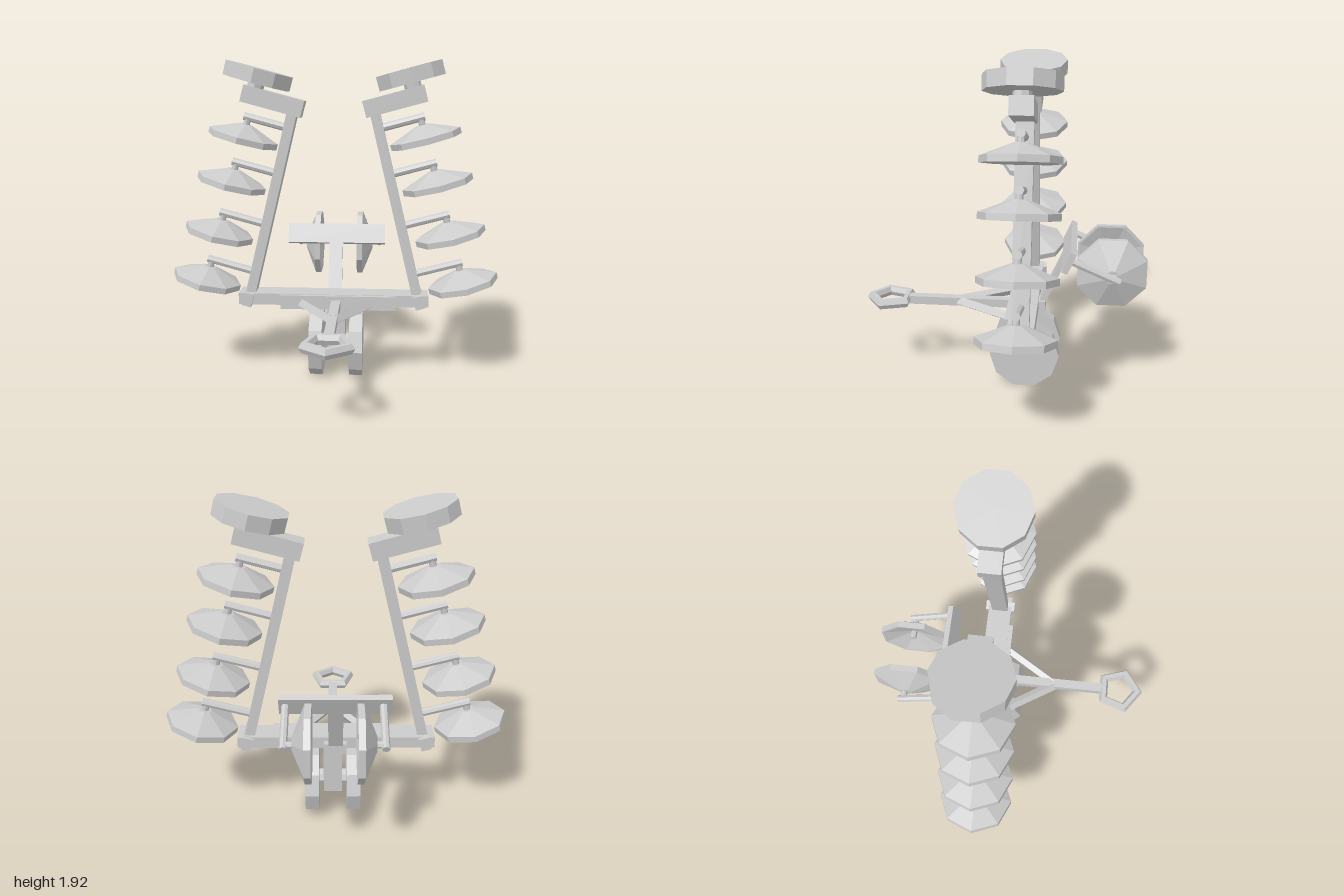
import * as THREE from 'three';

const Z = -0.145;                 // depth of the folded frame
const TILT = THREE.MathUtils.degToRad(15);
const CX = 0.02;                  // centre line of the drawbar and undercarriage
const V = (x, y, z) => new THREE.Vector3(x, y, z);
const material = new THREE.MeshStandardMaterial({ color: 0xcccccc, flatShading: true, side: THREE.DoubleSide });

function add(parent, name, geometry, x = 0, y = 0, z = 0) {
  const mesh = new THREE.Mesh(geometry, material);
  mesh.name = name;
  mesh.position.set(x, y, z);
  parent.add(mesh);
  return mesh;
}

function box(parent, name, w, h, d, x, y, z) {
  return add(parent, name, new THREE.BoxGeometry(w, h, d), x, y, z);
}

// Place a geometry made along y between two points
function span(parent, name, a, b, makeGeometry) {
  const dir = b.clone().sub(a);
  const mid = a.clone().add(b).multiplyScalar(0.5);
  const mesh = add(parent, name, makeGeometry(dir.length()), mid.x, mid.y, mid.z);
  mesh.quaternion.setFromUnitVectors(V(0, 1, 0), dir.normalize());
  return mesh;
}

const rod = (parent, name, a, b, r) =>
  span(parent, name, a, b, (len) => new THREE.CylinderGeometry(r, r, len, 8));
const bar = (parent, name, a, b, w, d) =>
  span(parent, name, a, b, (len) => new THREE.BoxGeometry(w, len, d));

// Shallow hollow cone with a thick rim
function dishGeometry() {
  const profile = [[0, 0.045], [0.2, -0.018], [0.212, -0.018], [0.212, 0.018], [0.04, 0.085], [0, 0.085]];
  return new THREE.LatheGeometry(profile.map(([r, y]) => new THREE.Vector2(r, y)), 8);
}

// Raised arm with four rake wheels and a top wheel; s = 1 left, -1 right
function addArm(parent, s) {
  const arm = new THREE.Group();
  arm.name = s > 0 ? 'leftArm' : 'rightArm';
  parent.add(arm);
  bar(arm, 'armBeam', V(s * 0.525, 0.45, Z), V(s * 0.24, 1.63, Z), 0.06, 0.1);
  box(arm, 'armHinge', 0.06, 0.08, 0.19, s * 0.522, 0.48, Z).rotation.z = s * TILT;
  box(arm, 'armHeadBlock', 0.37, 0.1, 0.125, s * 0.36, 1.68, Z).rotation.z = s * TILT;

  const tilted = (name, x, y) => {
    const g = new THREE.Group();
    g.name = name;
    g.position.set(s * x, y, Z);
    g.rotation.z = s * TILT;
    arm.add(g);
    return g;
  };
  const top = tilted('topWheel', 0.447, 1.827);
  add(top, 'topWheelDisc', new THREE.CylinderGeometry(0.205, 0.205, 0.085, 10));
  add(top, 'topWheelStub', new THREE.CylinderGeometry(0.05, 0.05, 0.1, 8), 0, -0.065, 0);

  for (const [x, y] of [[0.545, 1.46], [0.622, 1.19], [0.706, 0.88], [0.79, 0.585]]) {
    const wheel = tilted('rakeWheel', x, y);
    add(wheel, 'rakeDish', dishGeometry());
    rod(wheel, 'rakeSpindle', V(0, 0.0, 0), V(0, 0.13, 0), 0.02);
    rod(wheel, 'rakeRod', V(s * 0.025, 0.13, 0), V(s * -0.26, 0.13, 0), 0.024);
  }
}

// Rear rake wheels hung from a leaning crossbar
function addRearRake(parent) {
  const rear = new THREE.Group();
  rear.name = 'rearRake';
  parent.add(rear);
  bar(rear, 'rearPost', V(0.003, 0.46, -0.23), V(0.003, 0.82, -0.39), 0.085, 0.035);
  box(rear, 'rearPostBracket', 0.13, 0.065, 0.06, 0.005, 0.463, -0.23);
  box(rear, 'rearCrossbar', 0.62, 0.125, 0.035, 0.005, 0.833, -0.397).rotation.x = -0.42;
  for (const s of [1, -1]) {
    const at = (x, y, z) => V(0.01 + s * x, y, z);
    rod(rear, 'rearRod', at(0.268, 0.84, -0.40), at(0.268, 0.72, -0.68), 0.022);
    rod(rear, 'rearSpindle', at(0.268, 0.73, -0.65), at(0.13, 0.73, -0.65), 0.02);
    const c = at(0.138, 0.73, -0.64);
    const dish = add(rear, 'rearDish', dishGeometry().rotateY(Math.PI / 8), c.x, c.y, c.z);
    dish.rotation.z = -s * Math.PI / 2;
  }
}

// Central beam, support leg and road wheels
function addChassis(parent) {
  const chassis = new THREE.Group();
  chassis.name = 'chassis';
  parent.add(chassis);
  box(chassis, 'mainBeam', 1.16, 0.07, 0.15, 0, 0.483, Z);
  box(chassis, 'frontPlate', 0.7, 0.085, 0.035, 0.03, 0.473, -0.062);
  box(chassis, 'wheelLeg', 0.11, 0.33, 0.125, CX, 0.3, Z);
  rod(chassis, 'axle', V(CX - 0.14, 0.2, Z), V(CX + 0.14, 0.2, Z), 0.05);
  for (const s of [1, -1]) {
    const tyre = new THREE.CylinderGeometry(0.205, 0.205, 0.08, 10).rotateZ(Math.PI / 2);
    add(chassis, 'roadWheel', tyre, CX + s * 0.122, 0.196, Z);
  }
}

// Drawbar with two braces and a five-sided towing ring
function addHitch(parent) {
  const hitch = new THREE.Group();
  hitch.name = 'hitch';
  parent.add(hitch);
  box(hitch, 'drawbar', 0.055, 0.05, 0.64, CX, 0.465, 0.255);
  for (const s of [1, -1])
    bar(hitch, 'drawbarBrace', V(CX + s * 0.215, 0.465, -0.07), V(CX + s * 0.01, 0.465, 0.26), 0.04, 0.045);
  const ring = new THREE.TorusGeometry(0.12, 0.032, 6, 5).rotateZ(Math.PI / 2).rotateX(-Math.PI / 2);
  ring.rotateY(Math.PI);
  add(hitch, 'towRing', ring, CX, 0.467, 0.682);
}

export function createModel() {
  const model = new THREE.Group();
  model.name = 'foldedRake';
  addChassis(model);
  addHitch(model);
  addArm(model, 1);
  addArm(model, -1);
  addRearRake(model);
  return model;
}
